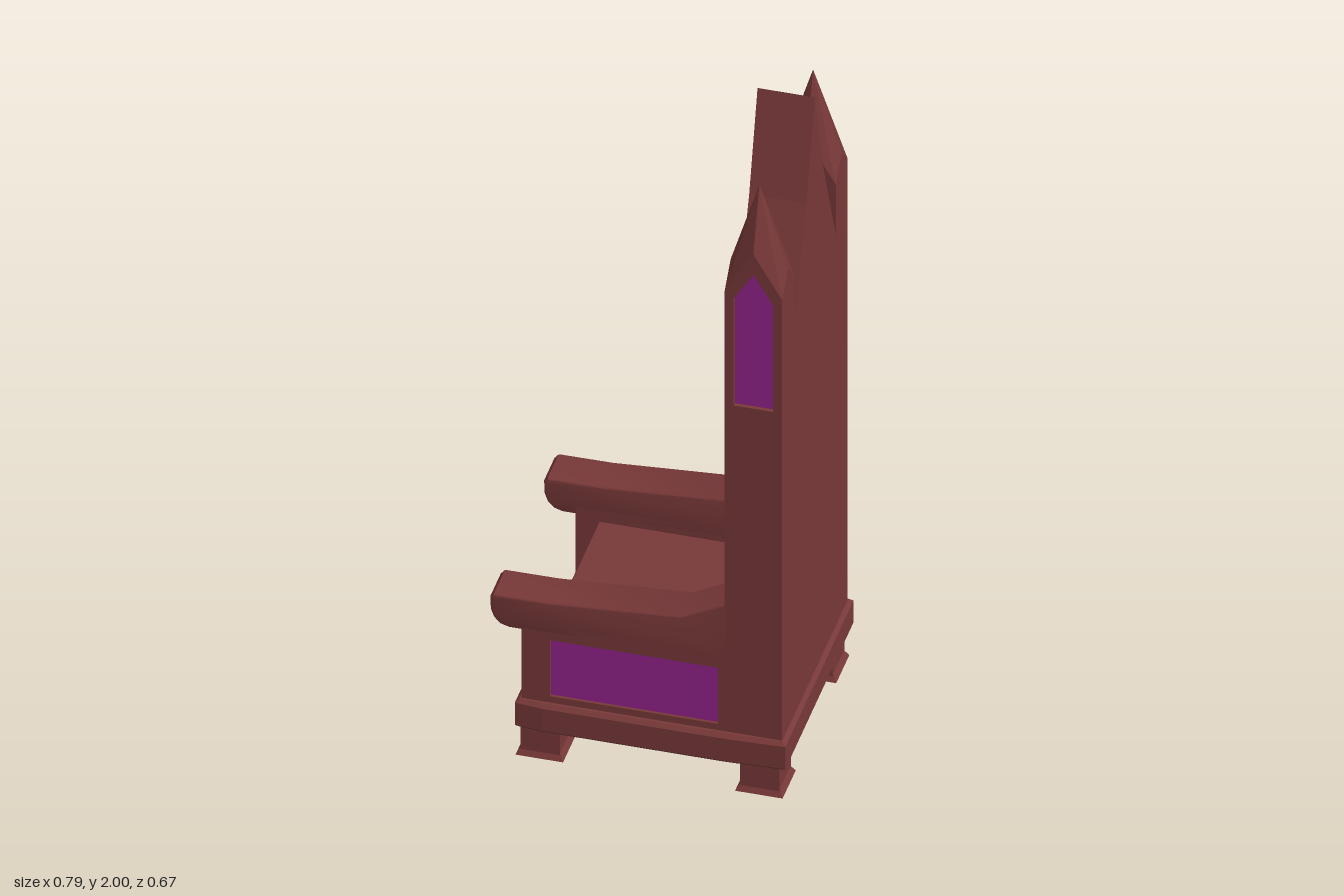
import * as THREE from 'three';
import { toCreasedNormals } from 'three/addons/utils/BufferGeometryUtils.js';

const wood = new THREE.MeshStandardMaterial({ color: 0x783838 });
wood.name = 'redBrownWood';
const purple = new THREE.MeshStandardMaterial({ color: 0x92218a });
purple.name = 'purplePanel';

function mesh(parent, name, geometry, material = wood) {
  const m = new THREE.Mesh(geometry, material);
  m.name = name;
  parent.add(m);
  return m;
}

function outline(points, hole) {
  const shape = new THREE.Shape(points.map(([u, v]) => new THREE.Vector2(u, v)));
  if (hole) shape.holes.push(new THREE.Path(hole.map(([u, v]) => new THREE.Vector2(u, v))));
  return shape;
}

// Outline in x,y extruded between two z values
function slabZ(shape, z0, z1) {
  return new THREE.ExtrudeGeometry(shape, { depth: z1 - z0, bevelEnabled: false }).translate(0, 0, z0);
}

// Outline in z,y extruded between two x values
function slabX(shape, x0, x1) {
  return new THREE.ExtrudeGeometry(shape, { depth: x1 - x0, bevelEnabled: false })
    .rotateY(-Math.PI / 2).translate(x1, 0, 0);
}

function box(x0, x1, y0, y1, z0, z1) {
  return new THREE.BoxGeometry(x1 - x0, y1 - y0, z1 - z0)
    .translate((x0 + x1) / 2, (y0 + y1) / 2, (z0 + z1) / 2);
}

const rect = (u0, u1, v0, v1) => [[u0, v0], [u1, v0], [u1, v1], [u0, v1]];
// Rectangle with a pointed top
const pointed = (u0, u1, v0, v1, peak) => [[u0, v0], [u1, v0], [u1, v1], [(u0 + u1) / 2, peak], [u0, v1]];

// Spire: creased roof over four small gables
function spireGeometry(x0, x1, z0, z1, eave, gableX, gableZ, top) {
  const xm = (x0 + x1) / 2, zm = (z0 + z1) / 2;
  const apex = [xm, top, zm];
  const ring = [
    [x0, eave, z0], [x0, gableX, zm], [x0, eave, z1], [xm, gableZ, z1],
    [x1, eave, z1], [x1, gableX, zm], [x1, eave, z0], [xm, gableZ, z0],
  ];
  const pos = [];
  ring.forEach((p, i) => pos.push(...apex, ...p, ...ring[(i + 1) % 8]));
  // Gable walls on the back and inner sides
  pos.push(...ring[4], ...ring[6], ...ring[5], ...ring[6], ...ring[0], ...ring[7]);
  const g = new THREE.BufferGeometry();
  g.setAttribute('position', new THREE.Float32BufferAttribute(pos, 3));
  g.computeVertexNormals();
  return g;
}

function addTower(side) {
  const x0 = 0.228, x1 = 0.38, z0 = 0.2, z1 = 0.315, eave = 1.58;
  mesh(side, 'towerCore', box(0.243, x1, 0.18, eave, z0, 0.3));
  // Frames with pointed niches on the front and outer faces
  const frontNiche = pointed(0.223, 0.292, 1.22, 1.52, 1.585);
  const sideNiche = pointed(0.252, 0.356, 1.22, 1.56, 1.645);
  mesh(side, 'towerFrontFrame', slabX(outline(pointed(z0, z1, 0.18, eave, 1.64), frontNiche), x0, 0.243));
  mesh(side, 'towerSideFrame', slabZ(outline(pointed(x0, x1, 0.18, eave, 1.71), sideNiche), 0.3, z1));
  mesh(side, 'towerFrontPanel', slabX(outline(frontNiche), 0.239, 0.243), purple);
  mesh(side, 'towerSidePanel', slabZ(outline(sideNiche), 0.3, 0.304), purple);
  mesh(side, 'towerSpire', spireGeometry(x0, x1, z0, z1, eave, 1.64, 1.71, 1.89));
}

function addArm(side) {
  const panel = rect(-0.235, 0.21, 0.2, 0.378);
  mesh(side, 'armBody', box(-0.31, 0.24, 0.18, 0.42, 0.2, 0.303));
  mesh(side, 'armSideFrame', slabZ(outline(rect(-0.31, 0.24, 0.18, 0.42), panel), 0.303, 0.315));
  mesh(side, 'armSidePanel', slabZ(outline(panel), 0.303, 0.307), purple);
  // Armrest with a rounded nose and a rise toward the back
  const b = 0.008;
  const rest = outline([
    [0.24, 0.395], [-0.345, 0.395], [-0.368, 0.402], [-0.385, 0.42], [-0.394, 0.445], [-0.395, 0.482],
    [-0.385, 0.494], [-0.24, 0.495], [0.11, 0.52], [0.228, 0.582], [0.24, 0.585],
  ].reverse());
  const g = new THREE.ExtrudeGeometry(rest, {
    depth: 0.115 - 2 * b, bevelThickness: b, bevelSize: b, bevelOffset: -b, bevelSegments: 3,
  }).translate(0, 0, 0.2 + b);
  mesh(side, 'armrest', toCreasedNormals(g, 0.5));
}

function addFeet(side) {
  for (const x of [-0.262, 0.32]) {
    mesh(side, 'foot', box(x - 0.052, x + 0.052, 0.015, 0.1, 0.2, 0.312));
    const flare = new THREE.CylinderGeometry(0.052 * Math.SQRT2, 0.063 * Math.SQRT2, 0.02, 4)
      .rotateY(Math.PI / 4).toNonIndexed();
    flare.computeVertexNormals();
    mesh(side, 'footFlare', flare.translate(x, 0.01, 0.257));
  }
}

export function createModel() {
  const throne = new THREE.Group();
  throne.name = 'throne';

  // Plinth with a notch between the front posts
  const half = [[-0.26, 0.188], [-0.325, 0.188], [-0.325, 0.327], [-0.25, 0.334], [0.23, 0.334], [0.392, 0.327]];
  const plan = [...half, ...half.map(([x, z]) => [x, -z]).reverse()];
  mesh(throne, 'plinth', new THREE.ExtrudeGeometry(outline(plan), {
    depth: 0.07, bevelThickness: 0.01, bevelSize: 0.01, bevelOffset: -0.01, bevelSegments: 1,
  }).rotateX(-Math.PI / 2).translate(0, 0.1, 0));

  // Seat with a framed front panel
  const seatPanel = rect(-0.172, 0.172, 0.21, 0.362);
  mesh(throne, 'seat', box(-0.234, 0.25, 0.18, 0.385, -0.2, 0.2));
  mesh(throne, 'seatFrontFrame', slabX(outline(rect(-0.2, 0.2, 0.18, 0.385), seatPanel), -0.246, -0.234));
  mesh(throne, 'seatFrontPanel', slabX(outline(seatPanel), -0.238, -0.234), purple);

  // Tall pointed backrest
  const peak = [[0.2, 1.42], [0.08, 1.72], [0, 2], [-0.08, 1.72], [-0.2, 1.42]];
  const arch = [[0, 1.42], [0.13, 1.34], [0.115, 1.43], [0.055, 1.6], [0, 1.73], [-0.055, 1.6], [-0.115, 1.43], [-0.13, 1.34]];
  mesh(throne, 'backrest', slabX(outline([[-0.2, 0.18], [0.2, 0.18], ...peak]), 0.262, 0.38));
  mesh(throne, 'backrestLowerFace', slabX(outline([[-0.2, 0.18], [0.2, 0.18], [0.2, 1.28], [0, 1.39], [-0.2, 1.28]]), 0.24, 0.262));
  mesh(throne, 'backrestArchFrame', slabX(outline([[0, 1.385], [0.2, 1.275], ...peak, [-0.2, 1.275]], arch), 0.228, 0.262));
  mesh(throne, 'backrestArchPanel', slabX(outline(arch), 0.257, 0.262), purple);

  // Padded back cushion with a peaked, wavy top
  const pad = new THREE.Shape();
  pad.moveTo(-0.155, 0.385);
  pad.lineTo(0.155, 0.385);
  pad.lineTo(0.158, 1.13);
  pad.quadraticCurveTo(0.1, 1.07, 0.055, 1.12);
  pad.quadraticCurveTo(0.02, 1.16, 0, 1.25);
  pad.quadraticCurveTo(-0.02, 1.16, -0.055, 1.12);
  pad.quadraticCurveTo(-0.1, 1.07, -0.158, 1.13);
  const cushion = new THREE.ExtrudeGeometry(pad, {
    depth: 0.006, bevelThickness: 0.014, bevelSize: 0.012, bevelSegments: 4, curveSegments: 8,
  }).rotateY(-Math.PI / 2).translate(0.242, 0, 0);
  mesh(throne, 'backCushion', toCreasedNormals(cushion, 0.7), purple);

  // Mirrored sides
  for (const s of [1, -1]) {
    const side = new THREE.Group();
    side.name = s > 0 ? 'nearSide' : 'farSide';
    addTower(side);
    addArm(side);
    addFeet(side);
    side.scale.z = s;
    throne.add(side);
  }
  return throne;
}
